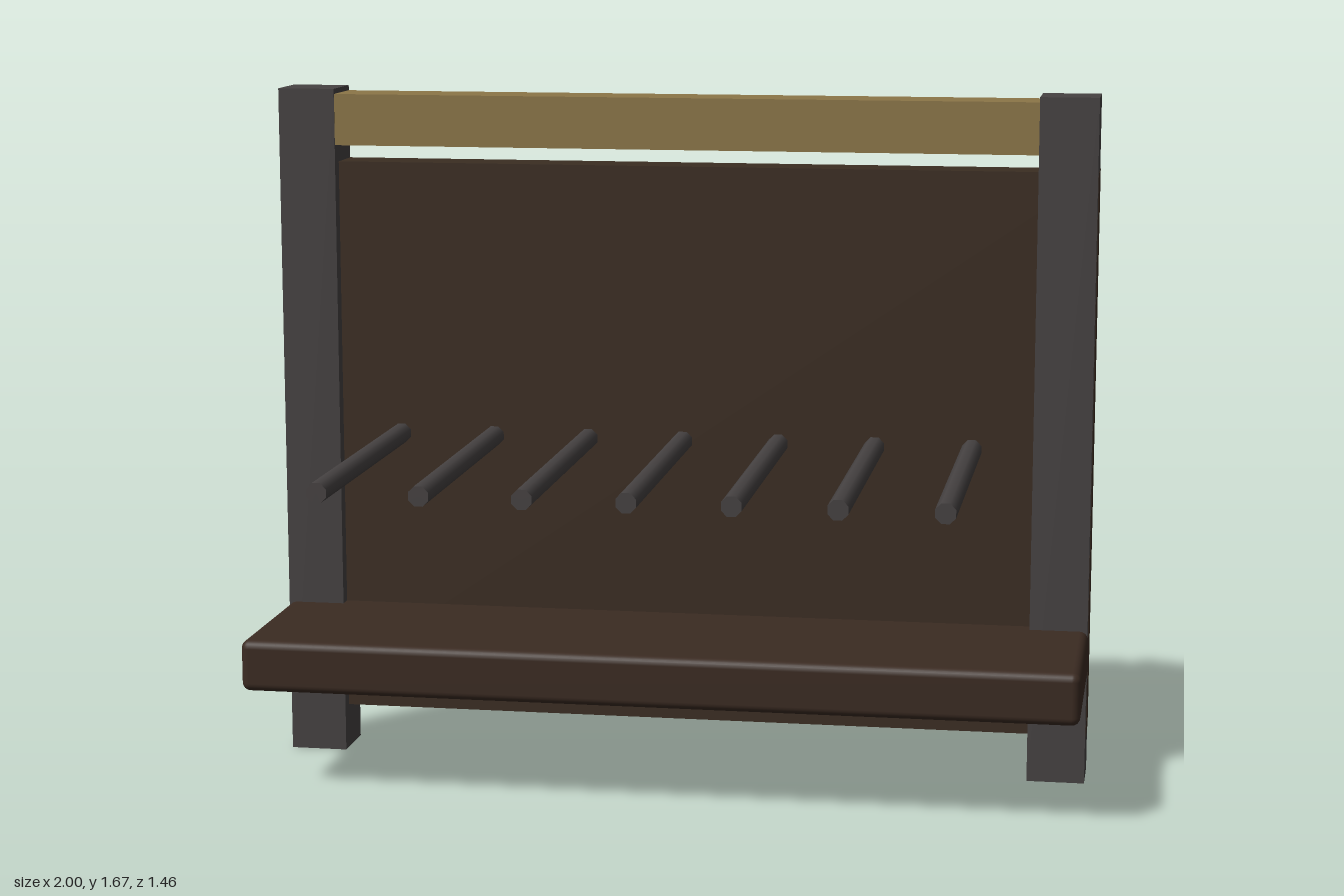
import * as THREE from 'three';
import { RoundedBoxGeometry } from 'three/addons/geometries/RoundedBoxGeometry.js';

const material = (name, color) => {
  const m = new THREE.MeshStandardMaterial({ color });
  m.name = name;
  return m;
};

export function createModel() {
  const group = new THREE.Group();
  const darkMetal = material('darkMetal', 0x464242);
  const paleWood = material('paleWood', 0x8c7648);
  const panelWood = material('panelWood', 0x3b2d22);
  const shelfWood = material('shelfWood', 0x3b2b22);

  const add = (name, geometry, mat, x, y, z) => {
    const mesh = new THREE.Mesh(geometry, mat);
    mesh.name = name;
    mesh.position.set(x, y, z);
    group.add(mesh);
    return mesh;
  };

  // Square uprights at both ends
  for (const side of [-1, 1]) {
    add(side > 0 ? 'leftPost' : 'rightPost',
      new THREE.BoxGeometry(0.14, 1.67, 0.14), darkMetal, side * 0.929, 0.835, -0.091);
  }

  // Top rail, set just inside the post faces
  add('topRail', new THREE.BoxGeometry(1.99, 0.125, 0.136), paleWood, 0, 1.595, -0.091);

  // Back panel, running across the posts
  add('backPanel', new THREE.BoxGeometry(2, 1.38, 0.112), panelWood, 0, 0.8, -0.111);

  // Shelf with softened edges
  add('shelf', new RoundedBoxGeometry(2, 0.125, 0.575, 3, 0.02), shelfWood, 0, 0.318, 0.113);

  // Row of pegs passing through the panel
  const pegGeometry = new THREE.CylinderGeometry(0.025, 0.025, 1.455, 8);
  pegGeometry.rotateY(Math.PI / 8);
  pegGeometry.rotateX(Math.PI / 2);
  for (let i = -3; i <= 3; i++) {
    add('peg', pegGeometry, darkMetal, i * 0.2365, 0.815, 0);
  }

  return group;
}
